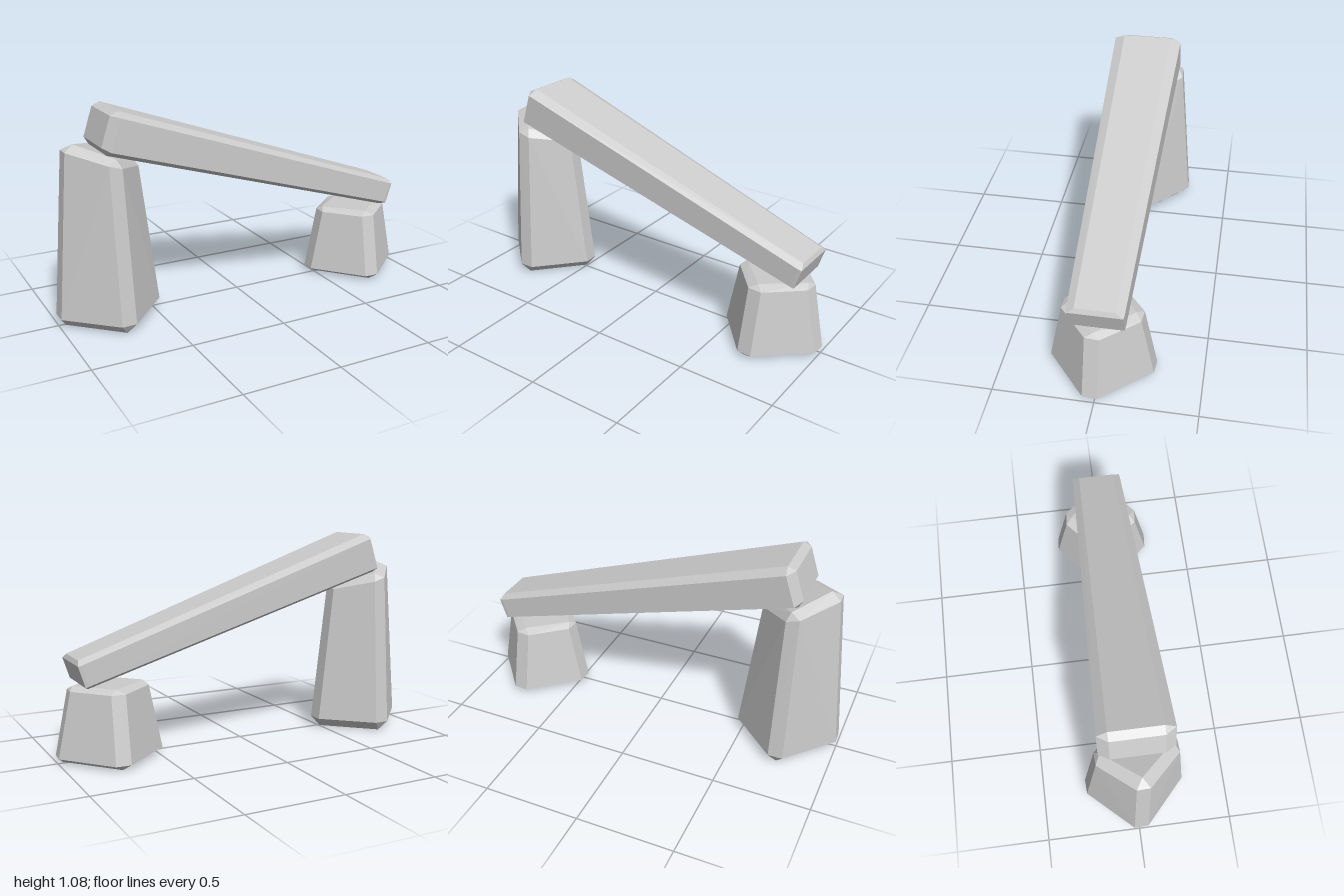
import * as THREE from 'three';
import { ConvexGeometry } from 'three/addons/geometries/ConvexGeometry.js';

const material = new THREE.MeshStandardMaterial({ color: 0xcccccc, flatShading: true });

function stone(name, points) {
  const mesh = new THREE.Mesh(new ConvexGeometry(points), material);
  mesh.name = name;
  return mesh;
}

// Diamond section: four corners at rx / rz, each cut to a flat of half width w.
function diamond({ x = 0, y, rx, rz, w = 0, slope = 0, twist = 0 }) {
  const points = [];
  for (let k = 0; k < 4; k++) {
    const a = k * Math.PI / 2;
    const c = Math.cos(a), s = Math.sin(a);
    for (const f of w ? [-w, w] : [0]) {
      const p = new THREE.Vector3(c * rx - s * f, 0, s * rz + c * f);
      p.applyAxisAngle(new THREE.Vector3(0, 1, 0), twist);
      p.x += x;
      p.y = y + slope * p.x;
      points.push(p);
    }
  }
  return points;
}

// Beam section at distance s: half width a, half height b, chamfers ca and cb.
function beamRing(s, a, b, ca, cb) {
  const points = [];
  for (const i of [-1, 1]) for (const j of [-1, 1]) {
    points.push(new THREE.Vector3(s, j * (b - cb), i * a));
    points.push(new THREE.Vector3(s, j * b, i * (a - ca)));
  }
  return points;
}

// Flat rectangular end of the beam.
function beamEnd(s, a, b) {
  return beamRing(s, a, b, 0, 0);
}

export function createModel() {
  const group = new THREE.Group();
  group.name = 'stoneDolmen';

  // Tall pillar with a sloping top
  const tall = stone('tallPillar', [
    ...diamond({ y: 0, rx: 0.23, rz: 0.235, twist: 0.04 }),
    ...diamond({ y: 0.05, rx: 0.264, rz: 0.265, w: 0.038, twist: 0.04 }),
    ...diamond({ x: -0.01, y: 0.827, rx: 0.185, rz: 0.2, w: 0.033, slope: -0.3, twist: 0.04 }),
    ...diamond({ x: 0.005, y: 0.864, rx: 0.15, rz: 0.175, slope: -0.35, twist: 0.04 }),
  ]);
  tall.position.x = -0.735;
  group.add(tall);

  // Short pillar with a level top
  const short = stone('shortPillar', [
    ...diamond({ y: 0, rx: 0.235, rz: 0.235, twist: -0.08 }),
    ...diamond({ y: 0.027, rx: 0.263, rz: 0.263, w: 0.038, twist: -0.08 }),
    ...diamond({ y: 0.357, rx: 0.197, rz: 0.197, w: 0.036, twist: -0.08 }),
    ...diamond({ y: 0.377, rx: 0.178, rz: 0.165, twist: -0.08 }),
  ]);
  short.position.x = 0.734;
  group.add(short);

  // Tapered capstone leaning from the tall pillar to the short one
  const capstone = stone('capstone', [
    ...beamEnd(0, 0.13, 0.078),
    ...beamRing(0.034, 0.183, 0.108, 0.052, 0.025),
    ...beamRing(1.729, 0.134, 0.075, 0.037, 0.02),
    ...beamEnd(1.746, 0.131, 0.056),
  ]);
  capstone.position.set(-0.755, 0.985, 0);
  capstone.rotation.z = -0.314;
  group.add(capstone);

  return group;
}
